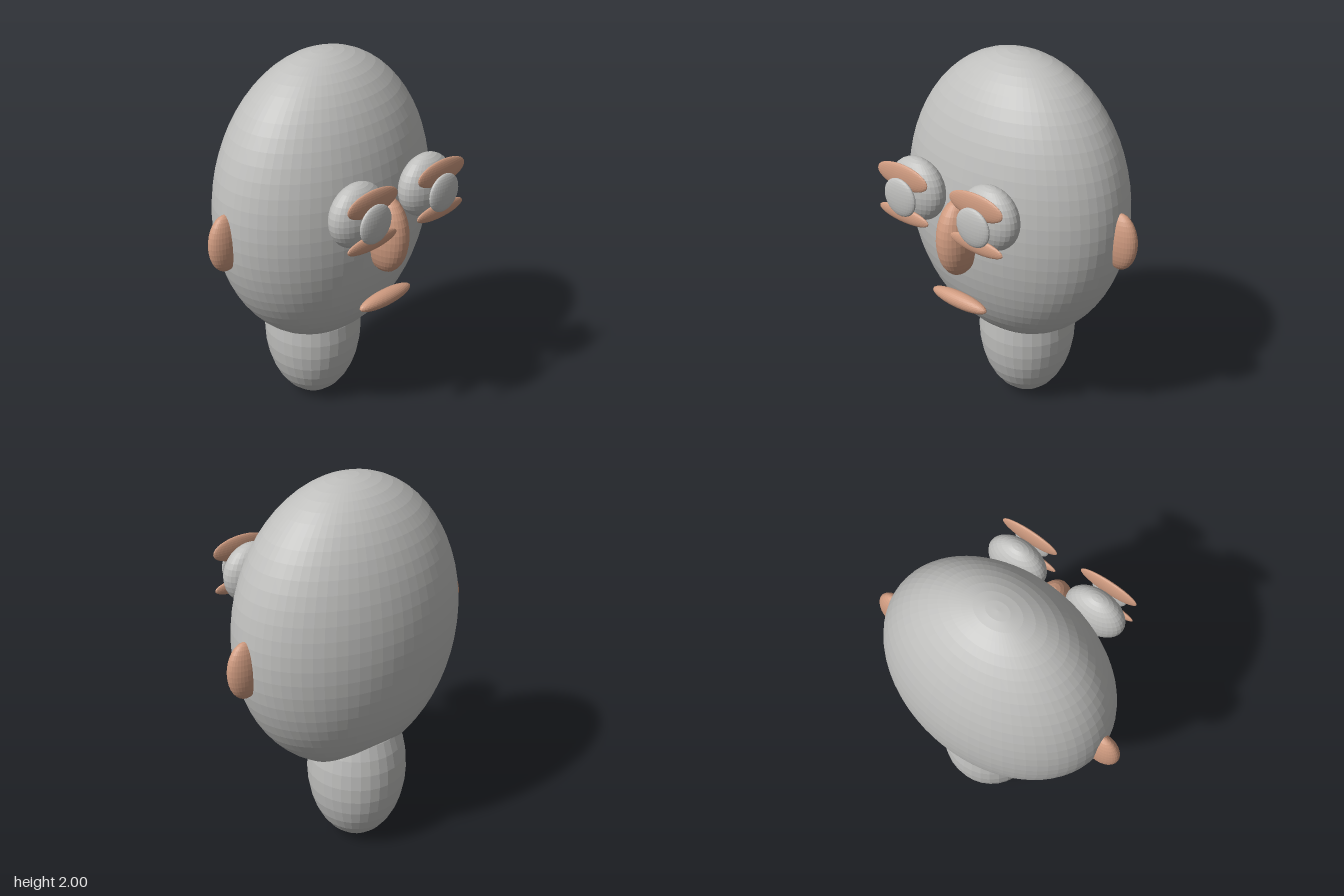
import * as THREE from 'three';

export function createModel() {
  const model = new THREE.Group();
  const grey = new THREE.MeshStandardMaterial({ color: 0xbfbfbd, flatShading: true });
  grey.name = 'stone grey';
  const skin = new THREE.MeshStandardMaterial({ color: 0xcf9b80, flatShading: true });
  skin.name = 'clay pink';

  // Every part is a faceted ellipsoid: centre, radii, segment counts
  function ellipsoid(name, material, centre, radii, columns = 32, rows = 16) {
    const geometry = new THREE.SphereGeometry(1, columns, rows);
    geometry.scale(...radii);
    const mesh = new THREE.Mesh(geometry, material);
    mesh.name = name;
    mesh.position.set(...centre);
    model.add(mesh);
  }

  // Head and neck
  ellipsoid('head', grey, [0, 1.225, -0.097], [0.628, 0.775, 0.437], 64, 32);
  ellipsoid('neck', grey, [0, 0.42, -0.183], [0.258, 0.42, 0.258]);

  // Nose and mouth
  ellipsoid('nose', skin, [0, 1.174, 0.35], [0.092, 0.208, 0.133]);
  ellipsoid('mouth', skin, [0, 0.811, 0.355], [0.175, 0.042, 0.042]);

  // Mirrored features
  for (const [side, s] of [['left', 1], ['right', -1]]) {
    ellipsoid(side + 'Ear', skin, [s * 0.625, 1.172, -0.115], [0.098, 0.152, 0.054]);
    ellipsoid(side + 'Eyeball', grey, [s * 0.232, 1.374, 0.384], [0.165, 0.164, 0.094]);
    ellipsoid(side + 'Pupil', grey, [s * 0.232, 1.372, 0.508], [0.1, 0.1, 0.026]);
    ellipsoid(side + 'UpperLid', skin, [s * 0.232, 1.475, 0.487], [0.162, 0.066, 0.018]);
    ellipsoid(side + 'LowerLid', skin, [s * 0.232, 1.269, 0.487], [0.161, 0.042, 0.018]);
  }

  return model;
}
